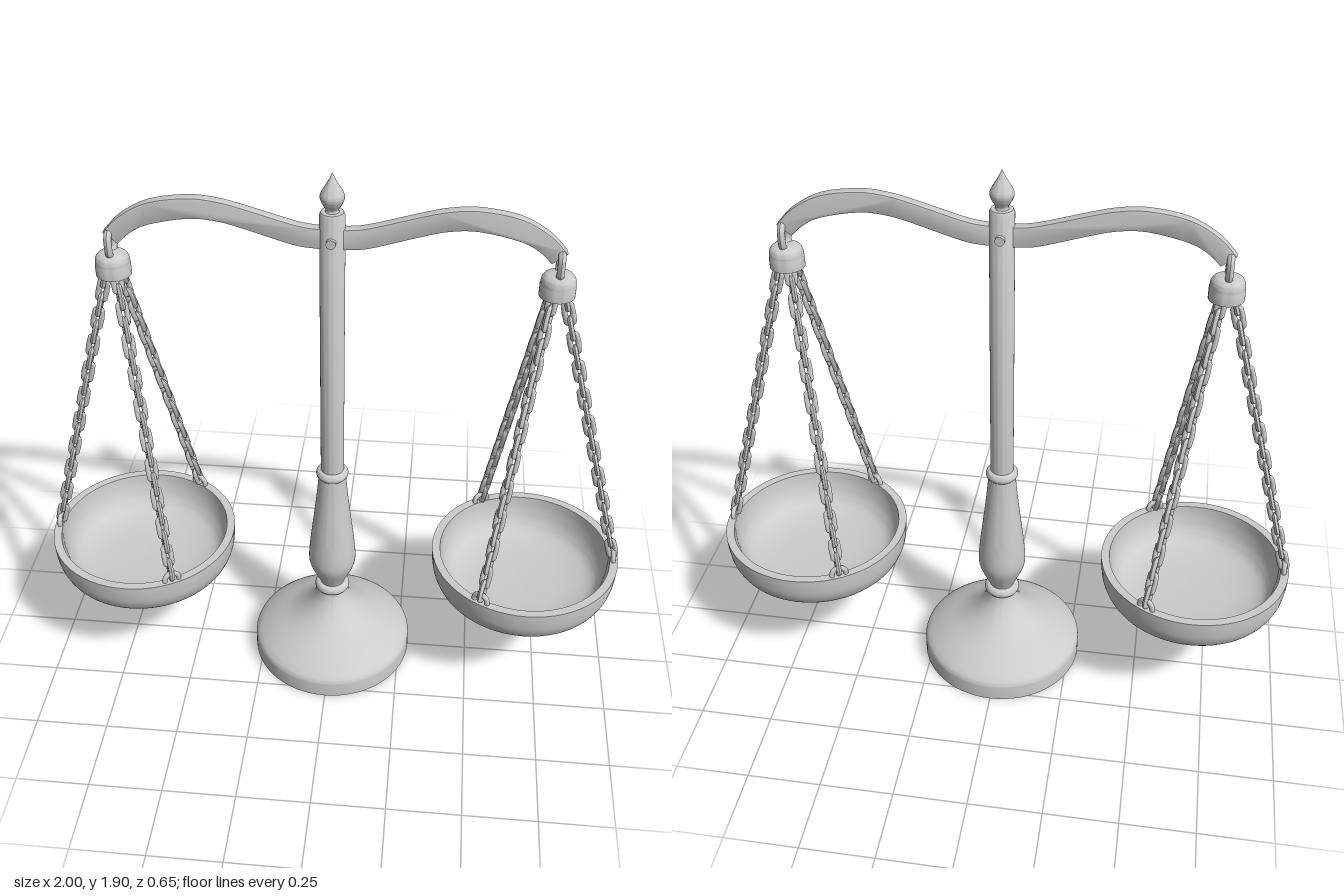
import * as THREE from 'three';
import { mergeGeometries, toCreasedNormals } from 'three/addons/utils/BufferGeometryUtils.js';

const material = new THREE.MeshStandardMaterial({ color: 0xcccccc });

function add(parent, name, geometry, x = 0, y = 0, z = 0) {
  const mesh = new THREE.Mesh(geometry, material);
  mesh.name = name;
  mesh.position.set(x, y, z);
  parent.add(mesh);
  return mesh;
}

const vectors = (points) => points.map(([x, y]) => new THREE.Vector2(x, y));
const smooth = (points, n = 24) => new THREE.SplineCurve(vectors(points)).getPoints(n);
const lathe = (points, segments = 48) => toCreasedNormals(new THREE.LatheGeometry(points, segments), 0.6);

// Oval link: a torus pulled apart along y
function linkGeometry(radius, wire, stretch, radial = 6, tubular = 16) {
  const g = new THREE.TorusGeometry(radius, wire, radial, tubular);
  const p = g.attributes.position;
  for (let i = 0; i < p.count; i++) {
    const y = p.getY(i);
    if (Math.abs(y) > 1e-5) p.setY(i, y + Math.sign(y) * stretch);
  }
  g.computeVertexNormals();
  return g;
}

// Chain of links along +y, each turned a quarter from the last
function chainGeometry(length, count) {
  const pitch = length / count;
  const links = [];
  for (let i = 0; i < count; i++) {
    const g = linkGeometry(0.0125, 0.009, pitch / 2 - 0.003);
    g.rotateY((i % 2) * Math.PI / 2);
    g.translate(0, (i + 0.5) * pitch, 0);
    links.push(g);
  }
  return mergeGeometries(links);
}

function createStand() {
  const stand = new THREE.Group();
  stand.name = 'stand';

  add(stand, 'base', lathe([
    ...vectors([[0, 0], [0.285, 0], [0.285, 0.055]]),
    ...smooth([[0.284, 0.062], [0.272, 0.08], [0.22, 0.115], [0.15, 0.153], [0.095, 0.196], [0.06, 0.24], [0.046, 0.28]]),
  ], 64));

  add(stand, 'baluster', lathe(smooth([
    [0.042, 0.28], [0.043, 0.31], [0.06, 0.35], [0.078, 0.395], [0.083, 0.435], [0.077, 0.51],
    [0.064, 0.62], [0.053, 0.72], [0.045, 0.81],
  ], 40)));

  add(stand, 'column', lathe(vectors([[0.039, 0.8], [0.039, 1.772], [0.034, 1.782], [0, 1.784]])));

  // Rounded collars below and above the baluster
  for (const [y, r, h] of [[0.293, 0.062, 0.036], [0.807, 0.055, 0.036]]) {
    const half = h / 2;
    add(stand, 'collar', lathe(smooth([
      [r - 0.025, -half], [r - 0.008, -half * 0.85], [r, 0], [r - 0.008, half * 0.85], [r - 0.025, half],
    ], 14)), 0, y, 0);
  }

  add(stand, 'finial', lathe(smooth([
    [0.024, 1.778], [0.02, 1.79], [0.032, 1.812], [0.037, 1.832], [0.028, 1.853], [0.012, 1.88], [0, 1.905],
  ], 28), 32));

  add(stand, 'pivotPin', new THREE.CylinderGeometry(0.015, 0.015, 0.1, 20).rotateX(Math.PI / 2), 0, 1.698, 0);
  return stand;
}

// Curved beam, symmetric about the column
function createBeam() {
  const upper = [[0, 1.731], [0.06, 1.732], [0.12, 1.743], [0.256, 1.783], [0.34, 1.804], [0.43, 1.811], [0.55, 1.791], [0.64, 1.741], [0.694, 1.685]];
  const lower = [[0.65, 1.65], [0.61, 1.688], [0.55, 1.719], [0.43, 1.744], [0.34, 1.739], [0.256, 1.717], [0.12, 1.675], [0.06, 1.666], [0, 1.664]];
  const mirror = (points) => points.slice(0).reverse().map(([x, y]) => [-x, y]);
  const top = smooth([...mirror(upper), ...upper.slice(1)], 64);
  const bottom = smooth([...lower, ...mirror(lower).slice(1)], 64);
  const geometry = new THREE.ExtrudeGeometry(new THREE.Shape([...top, ...bottom].reverse()), {
    depth: 0.026, bevelEnabled: true, bevelThickness: 0.004, bevelSize: 0.004, bevelOffset: -0.004, bevelSegments: 2,
  });
  geometry.translate(0, 0, -0.013);
  const mesh = new THREE.Mesh(toCreasedNormals(geometry, 0.5), material);
  mesh.name = 'beam';
  return mesh;
}

// Hook, cap, three chains and pan; local +x points away from the column
function createHangingPan() {
  const group = new THREE.Group();
  group.name = 'hangingPan';

  add(group, 'hook', linkGeometry(0.03, 0.012, 0.012, 10, 28).rotateY(Math.PI / 2), 0, 1.645, 0);

  add(group, 'cap', lathe([
    ...vectors([[0, 1.545], [0.045, 1.54], [0.055, 1.54], [0.055, 1.575]]),
    ...smooth([[0.054, 1.578], [0.051, 1.598], [0.036, 1.612], [0, 1.617]], 14),
  ], 36));

  add(group, 'pan', lathe([
    ...smooth([[0, 0.325], [0.14, 0.331], [0.23, 0.346], [0.287, 0.376], [0.313, 0.42], [0.321, 0.465], [0.323, 0.505]], 28),
    ...smooth([[0.295, 0.505], [0.288, 0.46], [0.27, 0.415], [0.235, 0.383], [0.15, 0.364], [0, 0.358]], 28),
  ], 64));

  const topRadius = 0.022, topY = 1.555, rimRadius = 0.303, rimY = 0.52;
  const length = Math.hypot(rimRadius - topRadius, topY - rimY);
  const geometry = chainGeometry(length, 20);
  for (let i = 0; i < 3; i++) {
    const arm = new THREE.Group();
    arm.name = 'chainArm';
    arm.rotation.y = i * Math.PI * 2 / 3;
    const chain = add(arm, 'chain', geometry, rimRadius, rimY, 0);
    chain.rotation.z = Math.atan2(rimRadius - topRadius, topY - rimY);
    // Ring that fixes the chain to the rim
    add(arm, 'rimRing', new THREE.TorusGeometry(0.025, 0.009, 8, 24).rotateY(Math.PI / 2), rimRadius + 0.002, 0.51, 0);
    group.add(arm);
  }
  return group;
}

export function createModel() {
  const model = new THREE.Group();
  model.name = 'balanceScale';
  model.add(createStand(), createBeam());
  for (const side of [1, -1]) {
    const pan = createHangingPan();
    pan.position.x = side * 0.677;
    if (side < 0) pan.rotation.y = Math.PI;
    model.add(pan);
  }
  return model;
}
